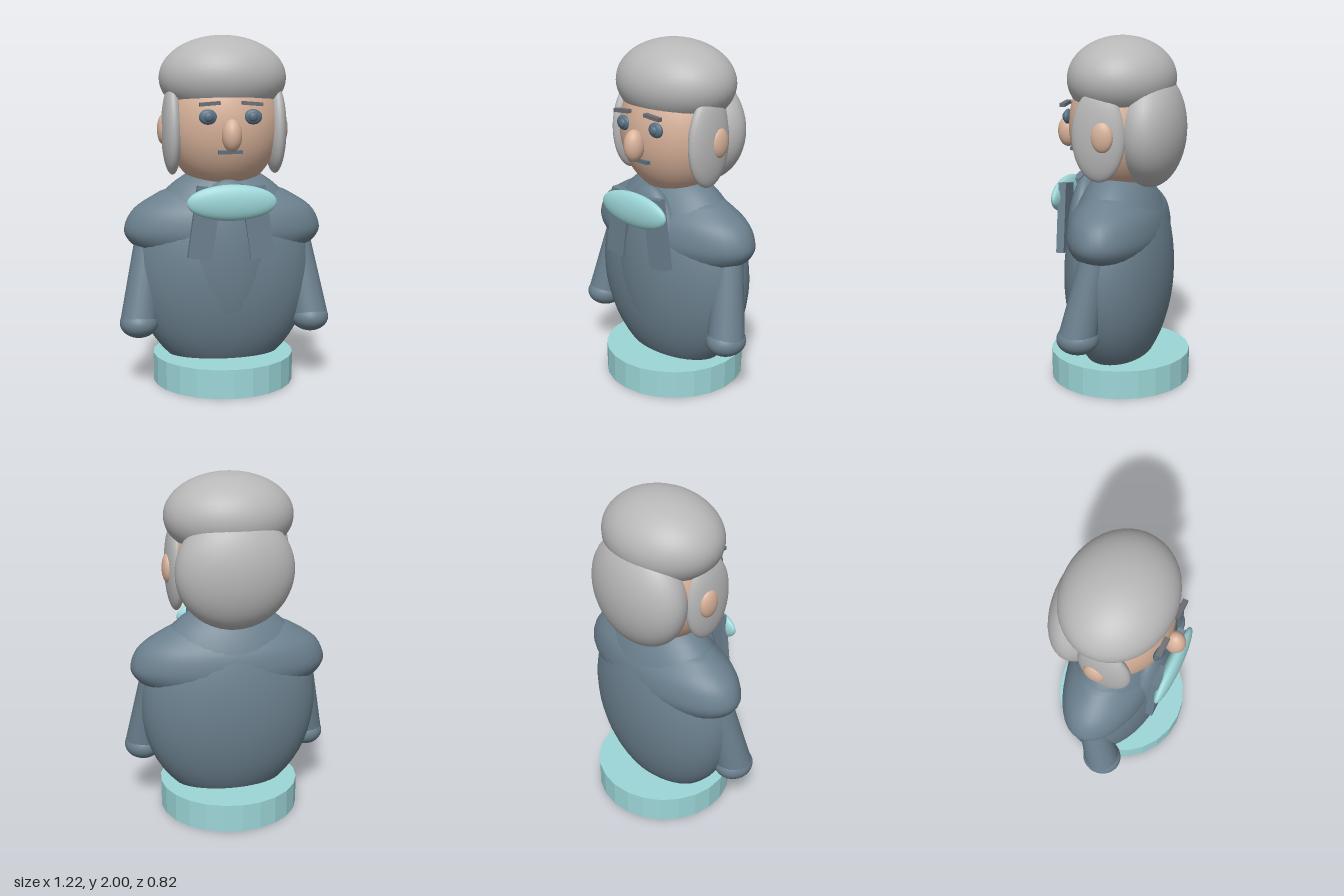
import * as THREE from 'three';

const mat = (name, color) => {
  const m = new THREE.MeshStandardMaterial({ color });
  m.name = name;
  return m;
};

export function createModel() {
  const coat = mat('slate coat', 0x6b808e);
  const teal = mat('pale teal', 0x9dd6d8);
  const skin = mat('skin', 0xd8b29a);
  const hair = mat('grey hair', 0xb8b8b8);
  const brow = mat('dark grey', 0x6c6e73);
  const iris = mat('eye slate', 0x587083);

  const model = new THREE.Group();
  const add = (name, geo, material, pos) => {
    const mesh = new THREE.Mesh(geo, material);
    mesh.name = name;
    mesh.position.set(...pos);
    model.add(mesh);
    return mesh;
  };
  const ball = (name, material, pos, radii) =>
    add(name, new THREE.SphereGeometry(1, 40, 28).scale(...radii), material, pos);

  // Plinth with flat facets
  const plinth = new THREE.CylinderGeometry(0.41, 0.41, 0.165, 24).toNonIndexed();
  plinth.computeVertexNormals();
  add('plinth', plinth, teal, [0, 0.0825, 0]);

  // Torso, waistcoat bulge and shoulder mantle
  ball('torso', coat, [0, 0.65, 0], [0.52, 0.62, 0.3]);
  ball('waistcoat', coat, [0, 0.75, 0.2], [0.24, 0.45, 0.112]);
  const outline = new THREE.SplineCurve([
    [0.001, 0.82], [0.3, 0.8], [0.48, 0.795], [0.55, 0.84], [0.572, 0.91],
    [0.525, 1.01], [0.41, 1.09], [0.3, 1.135], [0.001, 1.18],
  ].map(([x, y]) => new THREE.Vector2(x, y)));
  add('shoulders', new THREE.LatheGeometry(outline.getPoints(36), 40).scale(1, 1, 0.465), coat, [0, 0, 0]);

  // Head, nose and mouth
  ball('head', skin, [0, 1.5, 0], [0.33, 0.38, 0.29]);
  ball('nose', skin, [0, 1.45, 0.315], [0.055, 0.09, 0.06]);
  add('mouth', new THREE.BoxGeometry(0.135, 0.02, 0.03), iris, [0, 1.357, 0.268]);

  // Hair
  ball('hairTop', hair, [0, 1.76, -0.01], [0.365, 0.24, 0.305]);
  ball('hairBack', hair, [0, 1.48, -0.185], [0.335, 0.33, 0.19]);

  // Bow at the neck
  ball('bow', teal, [0, 1.085, 0.325], [0.25, 0.1, 0.045]);

  for (const s of [-1, 1]) {
    const side = s > 0 ? 'left' : 'right';
    ball(side + 'SideHair', hair, [s * 0.297, 1.47, 0.04], [0.06, 0.255, 0.152]);
    ball(side + 'Ear', skin, [s * 0.345, 1.47, 0.005], [0.033, 0.084, 0.062]);
    ball(side + 'Eye', iris, [s * 0.125, 1.55, 0.272], [0.05, 0.042, 0.022]);
    ball(side + 'Pupil', iris, [s * 0.122, 1.55, 0.288], [0.026, 0.026, 0.016]);
    add(side + 'Brow', new THREE.BoxGeometry(0.115, 0.02, 0.03), brow,
      [s * 0.117, 1.622, 0.288]).rotation.z = -s * 0.08;
    // Hanging neckcloth tabs
    add(side + 'Tab', new THREE.BoxGeometry(0.135, 0.4, 0.045), coat,
      [s * 0.148, 0.97, 0.29]).rotation.z = s * 0.14;

    // Tapered sleeve and rounded hand
    const top = new THREE.Vector3(s * 0.43, 0.86, 0.01);
    const end = new THREE.Vector3(s * 0.5, 0.385, 0.1);
    const axis = top.clone().sub(end);
    const sleeve = add(side + 'Sleeve', new THREE.CylinderGeometry(0.08, 0.106, axis.length(), 20),
      coat, top.clone().add(end).multiplyScalar(0.5).toArray());
    sleeve.quaternion.setFromUnitVectors(new THREE.Vector3(0, 1, 0), axis.normalize());
    ball(side + 'Hand', coat, [s * 0.5, 0.375, 0.1], [0.11, 0.085, 0.118]);
  }
  return model;
}
